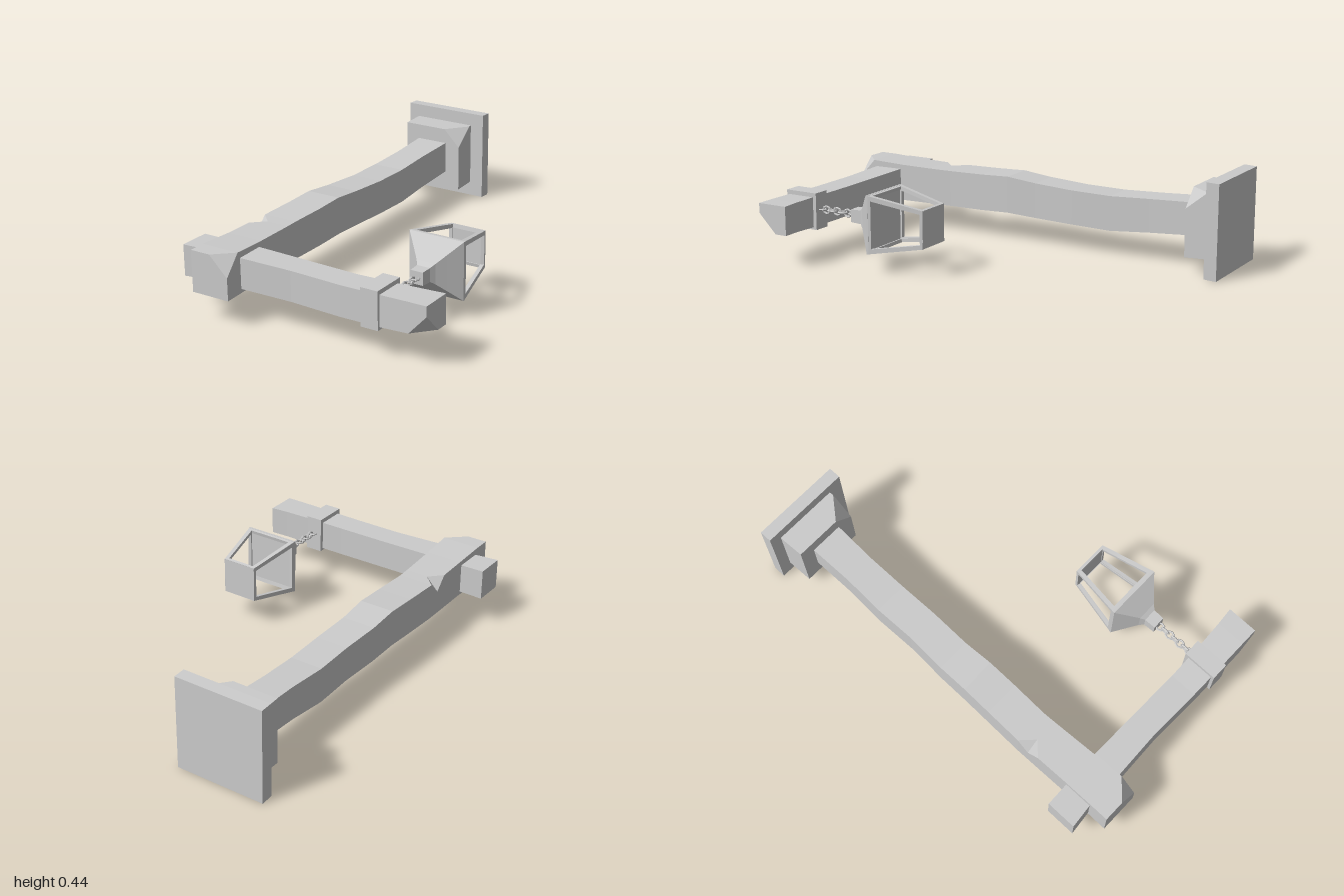
import * as THREE from 'three';

const material = new THREE.MeshStandardMaterial({ color: 0xcccccc, flatShading: true });

// Loft of box-like sections [t, a0, a1, b0, b1, chip, notch] along local z.
// chip cuts the (a1, b1) corner, notch cuts the (a0, b1) corner.
function loft(sections) {
  const rings = sections.map(([t, a0, a1, b0, b1, c = 0, d = 0]) => [
    [a0, b0], [a1, b0], [a1, b1 - c], [a1 - c, b1], [a0 + d, b1], [a0, b1 - d],
  ].map(([a, b]) => new THREE.Vector3(a, b, t)));
  const pos = [];
  const tri = (p, q, r) => {
    if (new THREE.Triangle(p, q, r).getArea() < 1e-8) return;
    for (const v of [p, q, r]) pos.push(v.x, v.y, v.z);
  };
  for (let i = 0; i < rings.length - 1; i++) {
    const lo = rings[i], hi = rings[i + 1];
    for (let j = 0; j < 6; j++) {
      const k = (j + 1) % 6;
      tri(lo[j], lo[k], hi[k]);
      tri(lo[j], hi[k], hi[j]);
    }
  }
  const first = rings[0], last = rings[rings.length - 1];
  for (let j = 1; j < 5; j++) {
    tri(first[0], first[j + 1], first[j]);
    tri(last[0], last[j], last[j + 1]);
  }
  const g = new THREE.BufferGeometry();
  g.setAttribute('position', new THREE.Float32BufferAttribute(pos, 3));
  g.computeVertexNormals();
  return g;
}

function add(parent, name, geometry) {
  const mesh = new THREE.Mesh(geometry, material);
  mesh.name = name;
  parent.add(mesh);
  return mesh;
}

function box(x0, x1, y0, y1, z0, z1) {
  return new THREE.BoxGeometry(x1 - x0, y1 - y0, z1 - z0)
    .translate((x0 + x1) / 2, (y0 + y1) / 2, (z0 + z1) / 2);
}

function trapezoid(PathType, w0, w1, y0, y1) {
  const path = new PathType();
  path.moveTo(-w0, y0);
  path.lineTo(w0, y0);
  path.lineTo(w1, y1);
  path.lineTo(-w1, y1);
  path.closePath();
  return path;
}

function createLantern() {
  const lantern = new THREE.Group();
  lantern.name = 'lantern';

  // Flared square cap with a neck
  const profile = [[0.39, 0.135], [0.4, 0.135], [0.45, 0.083], [0.485, 0.047], [0.505, 0.032], [0.56, 0.03]];
  add(lantern, 'lanternCap', loft(profile.map(([z, h]) => [z, -h, h, -h, h])));

  // Four tapered window frames
  const wide = 0.135, narrow = 0.087, depth = 0.265, thick = 0.016;
  const length = Math.hypot(depth, wide - narrow);
  const shape = trapezoid(THREE.Shape, wide, narrow, 0, length);
  shape.holes.push(trapezoid(THREE.Path, 0.11, 0.07, 0.018, length - 0.014));
  const frame = new THREE.ExtrudeGeometry(shape, { depth: thick, bevelEnabled: false })
    .translate(0, 0, -thick)
    .rotateX(Math.atan2(-depth, narrow - wide))
    .translate(0, wide, 0.395);
  for (let i = 0; i < 4; i++) {
    add(lantern, 'windowFrame', frame).rotation.z = i * Math.PI / 2;
  }

  // Closed bottom
  add(lantern, 'lanternBottom', box(-0.086, 0.086, -0.086, 0.086, 0.13, 0.144));
  lantern.position.set(0.355, 0.221, 0);
  return lantern;
}

export function createModel() {
  const model = new THREE.Group();
  model.name = 'lampPost';

  // Stepped base with a broken corner
  add(model, 'basePlate', loft([
    [-1, -0.615, -0.18, 0, 0.44],
    [-0.94, -0.615, -0.18, 0.003, 0.443],
  ]));
  add(model, 'baseBlock', loft([
    [-0.94, -0.56, -0.25, 0.075, 0.38],
    [-0.92, -0.56, -0.248, 0.075, 0.38],
    [-0.815, -0.555, -0.248, 0.07, 0.38, 0.085],
  ]));

  // Crooked timber post with a nick in one edge and a chipped tip
  add(model, 'post', loft([
    [-0.83, -0.485, -0.325, 0.155, 0.308],
    [-0.6, -0.478, -0.33, 0.137, 0.296],
    [-0.4, -0.483, -0.326, 0.12, 0.286],
    [-0.2, -0.478, -0.322, 0.125, 0.29],
    [0, -0.488, -0.327, 0.13, 0.3],
    [0.15, -0.49, -0.322, 0.138, 0.316],
    [0.3, -0.492, -0.322, 0.133, 0.31],
    [0.48, -0.495, -0.326, 0.13, 0.306],
    [0.54, -0.494, -0.323, 0.13, 0.306, 0, 0.06],
    [0.6, -0.493, -0.32, 0.13, 0.307],
    [0.75, -0.49, -0.312, 0.13, 0.31],
    [0.92, -0.49, -0.304, 0.127, 0.318],
    [1, -0.49, -0.302, 0.125, 0.318, 0.09],
  ]));

  // Cross beam: sections hold z and -y, then the loft axis turns to x
  const toX = new THREE.Matrix4().makeBasis(
    new THREE.Vector3(0, 0, 1), new THREE.Vector3(0, -1, 0), new THREE.Vector3(1, 0, 0));
  add(model, 'crossBeam', loft([
    [-0.605, 0.768, 0.914, -0.288, -0.142],
    [-0.49, 0.766, 0.903, -0.287, -0.146],
    [-0.3, 0.765, 0.905, -0.288, -0.146],
    [-0.05, 0.768, 0.896, -0.284, -0.143],
    [0.2, 0.773, 0.903, -0.281, -0.139],
    [0.4, 0.769, 0.905, -0.284, -0.142],
    [0.53, 0.763, 0.905, -0.286, -0.148],
    [0.615, 0.756, 0.905, -0.286, -0.15, 0.09],
  ]).applyMatrix4(toX));

  // Band around the beam
  add(model, 'beamBand', box(0.312, 0.395, 0.13, 0.304, 0.752, 0.919));

  // Chain of alternating links
  const link = new THREE.TorusGeometry(0.017, 0.005, 5, 8).scale(1, 1.2, 1).rotateX(Math.PI / 2);
  for (let i = 0; i < 7; i++) {
    const mesh = add(model, 'chainLink', link);
    mesh.position.set(0.355, 0.222, 0.57 + i * 0.03);
    mesh.rotation.z = (i % 2) * Math.PI / 2;
  }

  model.add(createLantern());
  return model;
}
